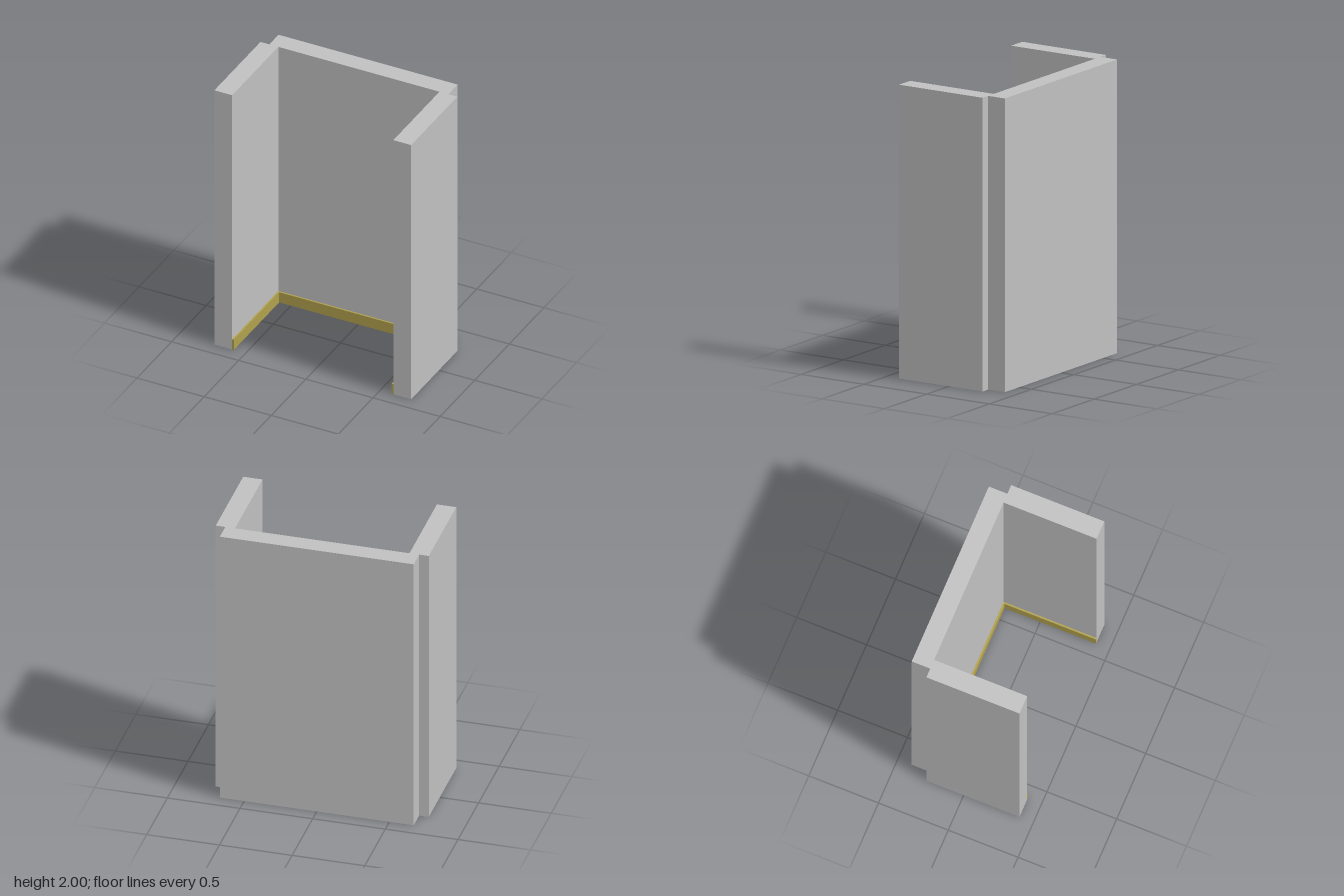
import * as THREE from 'three';

export function createModel() {
  const group = new THREE.Group();
  const plaster = new THREE.MeshStandardMaterial({ color: 0xc0c0c0 });
  plaster.name = 'grey wall';
  const trim = new THREE.MeshStandardMaterial({ color: 0xb0a04c });
  trim.name = 'ochre trim';

  // Box given by its extents in x and z, standing on the ground
  function block(name, material, x0, x1, z0, z1, height) {
    const mesh = new THREE.Mesh(new THREE.BoxGeometry(x1 - x0, height, z1 - z0), material);
    mesh.position.set((x0 + x1) / 2, height / 2, (z0 + z1) / 2);
    mesh.name = name;
    group.add(mesh);
  }

  const inner = 0.6, outer = 0.733, backInner = -0.267, front = 0.4;
  const wallHeight = 2, trimHeight = 0.08, trimDepth = 0.012;

  // Back wall and its skirting board
  block('backWall', plaster, -0.667, 0.667, -0.4, backInner, wallHeight);
  block('backSkirting', trim, -inner + trimDepth, inner - trimDepth, backInner, backInner + trimDepth, trimHeight);

  // Side walls and their skirting boards
  block('leftWall', plaster, inner, outer, backInner, front, wallHeight);
  block('rightWall', plaster, -outer, -inner, backInner, front, wallHeight);
  block('leftSkirting', trim, inner - trimDepth, inner, backInner, front, trimHeight);
  block('rightSkirting', trim, -inner, -inner + trimDepth, backInner, front, trimHeight);

  return group;
}
